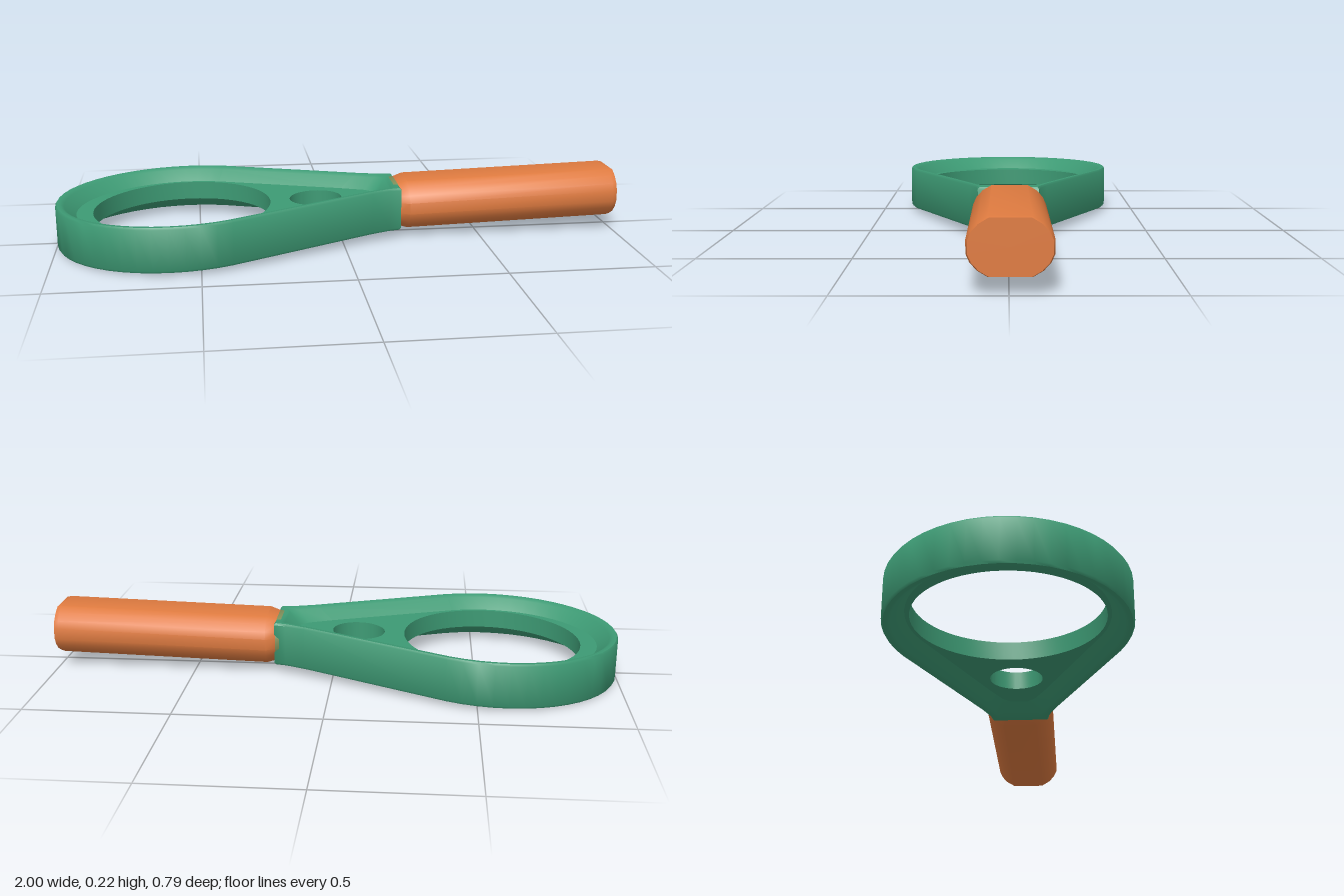
import * as THREE from 'three';
import { toCreasedNormals } from 'three/addons/utils/BufferGeometryUtils.js';

const TILT = 0.028;      // the whole tool rises gently toward the grip
const INSET = 0.07;      // width of the sloping rim
const CX = -0.57;        // centre of the head

// Raise each vertex in proportion to x, then smooth all but sharp edges.
function finish(geometry, crease) {
  const p = geometry.attributes.position;
  for (let i = 0; i < p.count; i++) p.setY(i, p.getY(i) + TILT * (p.getX(i) + 1));
  return toCreasedNormals(geometry, crease);
}

// Skin between closed rings of [x, y, z] points.
function loft(rings, crease) {
  const n = rings[0].length, index = [];
  for (let i = 0; i < rings.length - 1; i++) {
    for (let j = 0; j < n; j++) {
      const k = (j + 1) % n, a = i * n, b = a + n;
      index.push(a + j, b + j, b + k, a + j, b + k, a + k);
    }
  }
  const g = new THREE.BufferGeometry();
  g.setAttribute('position', new THREE.Float32BufferAttribute(rings.flat(2), 3));
  g.setIndex(index);
  return finish(g, crease);
}

// Teardrop outline, moved inward by d.
function teardrop(d) {
  const t = d / INSET, pts = [], steps = 32, start = 66;
  for (let i = 0; i <= steps; i++) {
    const a = THREE.MathUtils.degToRad(start + (360 - 2 * start) * i / steps);
    pts.push([CX + (0.43 - d) * Math.cos(a), (0.395 - d) * Math.sin(a)]);
  }
  const neck = [
    [0.1, 0.135, 0.02, 0.10],
    [0.17, 0.11, 0.1, 0.06],
    [0.21, 0.105, 0.13, 0.03],
  ].map(([x, s, xi, si]) => [x + (xi - x) * t, s + (si - s) * t]);
  for (const [x, s] of neck) pts.push([x, -s]);
  for (const [x, s] of neck.reverse()) pts.push([x, s]);
  return pts;
}

// Grip cross-section: a flattened octagon with rounded shoulders.
const quarter = [[0.124, 0.02], [0.113, 0.045], [0.092, 0.068], [0.062, 0.086]];
const section = [
  ...quarter,
  ...quarter.map(([z, y]) => [-z, y]).reverse(),
  ...quarter.map(([z, y]) => [-z, -y]),
  ...quarter.map(([z, y]) => [z, -y]).reverse(),
];
const gripRing = (x, sz, sy) => section.map(([z, y]) => [x, 0.08 + y * sy, z * sz - 0.004]);

export function createModel() {
  const model = new THREE.Group();
  const green = new THREE.MeshStandardMaterial({ color: 0x3d9a74 });
  green.name = 'green';
  const orange = new THREE.MeshStandardMaterial({ color: 0xdf7b40 });
  orange.name = 'orange';
  const olive = new THREE.MeshStandardMaterial({ color: 0x7f8f5a });
  olive.name = 'olive';

  const add = (name, geometry, material) => {
    const mesh = new THREE.Mesh(geometry, material);
    mesh.name = name;
    model.add(mesh);
  };

  // Tall outer rim, sloping down to the web on both faces
  const rim = [
    [INSET, 0.11], [0.03, 0.147], [0.018, 0.155], [0.005, 0.155], [0, 0.148],
    [0, 0.008], [0.005, 0], [0.018, 0], [0.03, 0.008], [INSET, 0.045],
  ];
  add('rim', loft(rim.map(([d, y]) => teardrop(d).map(([x, s]) => [x, y, -s])), 0.7), green);

  // Recessed web with the large and small round openings
  const web = new THREE.Shape(teardrop(INSET).map(([x, s]) => new THREE.Vector2(x, s)));
  for (const [x, r] of [[-0.56, 0.312], [-0.085, 0.093]]) {
    web.holes.push(new THREE.Path().absarc(x, 0, r, 0, Math.PI * 2, true));
  }
  const webGeometry = new THREE.ExtrudeGeometry(web, { depth: 0.065, bevelEnabled: false, curveSegments: 32 });
  webGeometry.rotateX(-Math.PI / 2).translate(0, 0.045, 0);
  add('web', finish(webGeometry, 0.7), green);

  // Narrow collar between head and grip
  add('collar', loft([gripRing(0.19, 0.83, 0.88), gripRing(0.215, 0.87, 0.9)], 0.6), olive);

  // Grip with tapered shoulder and flat, slightly eased end
  add('grip', loft([
    gripRing(0.205, 0, 0), gripRing(0.205, 0.85, 0.89), gripRing(0.24, 1, 1),
    gripRing(0.985, 1, 1), gripRing(1, 0.96, 0.96), gripRing(1, 0, 0),
  ], 0.6), orange);

  return model;
}
